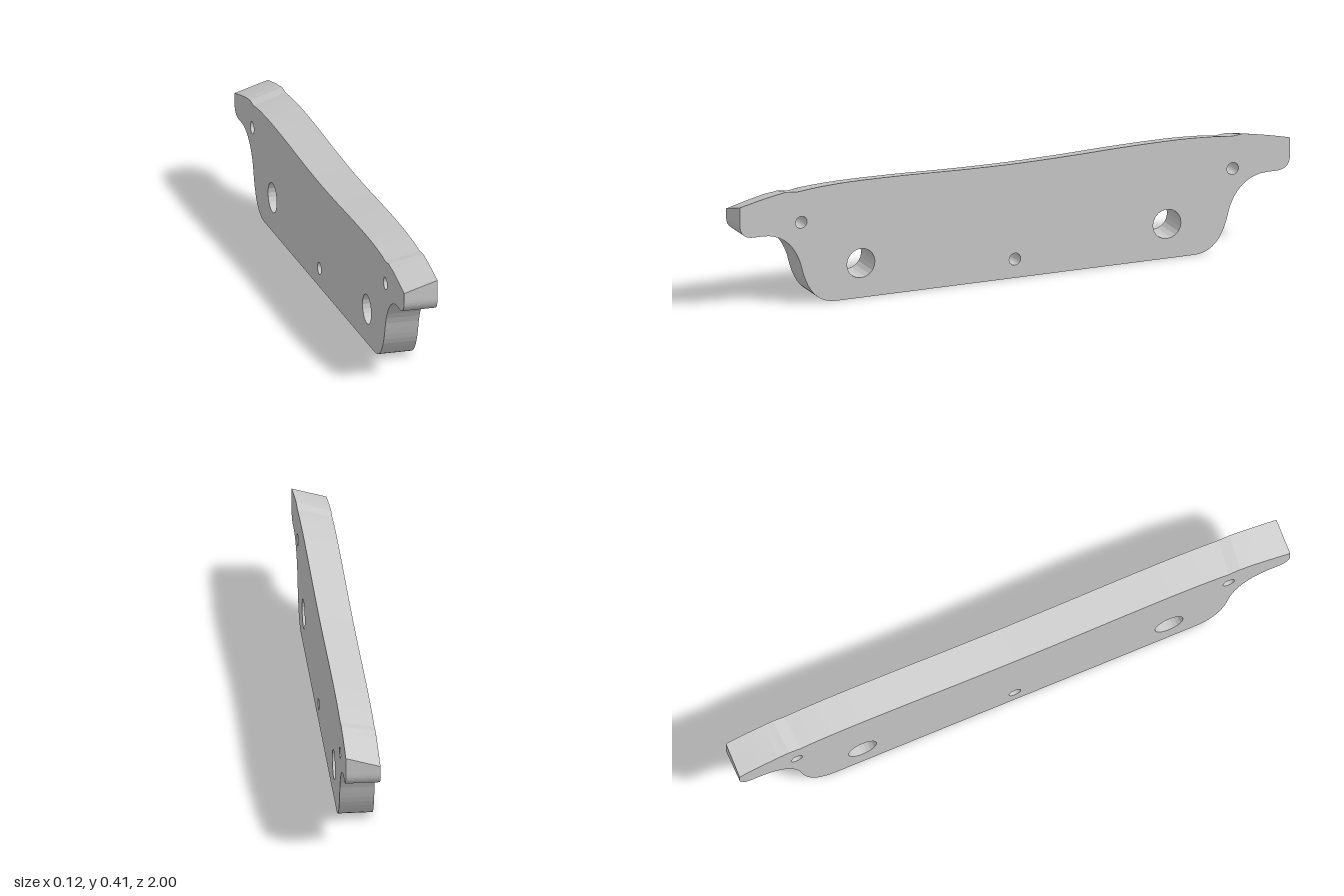
import * as THREE from 'three';

const HALF = 0.058; // half thickness of the plate

// Side outline; u runs along the length, y is up
function outline() {
  const s = new THREE.Shape();
  s.moveTo(-0.65, 0);
  s.lineTo(0.65, 0);
  s.bezierCurveTo(0.72, 0, 0.755, 0.05, 0.774, 0.125); // lower corner
  s.bezierCurveTo(0.79, 0.2, 0.84, 0.256, 0.915, 0.257); // concave underside of the ear
  s.lineTo(0.95, 0.257);
  s.quadraticCurveTo(1, 0.257, 1, 0.305);
  s.lineTo(1, 0.367);
  s.quadraticCurveTo(0.9, 0.391, 0.83, 0.401); // sloping ear top
  s.lineTo(0.79, 0.397); // small step
  const crown = [[0.7, 0.405], [0.58, 0.409], [0.4, 0.407], [0.2, 0.401], [0, 0.398],
    [-0.2, 0.401], [-0.4, 0.407], [-0.58, 0.409], [-0.7, 0.405], [-0.79, 0.397]];
  s.splineThru(crown.map(([u, y]) => new THREE.Vector2(u, y)));
  s.lineTo(-0.83, 0.401);
  s.quadraticCurveTo(-0.9, 0.391, -1, 0.367);
  s.lineTo(-1, 0.305);
  s.quadraticCurveTo(-1, 0.257, -0.95, 0.257);
  s.lineTo(-0.915, 0.257);
  s.bezierCurveTo(-0.84, 0.256, -0.79, 0.2, -0.774, 0.125);
  s.bezierCurveTo(-0.755, 0.05, -0.72, 0, -0.65, 0);

  // Through holes: u, y, radius
  const holes = [[-0.56, 0.12, 0.051], [0.553, 0.12, 0.051], [-0.777, 0.289, 0.021],
    [0.792, 0.284, 0.021], [0, 0.065, 0.021]];
  for (const [u, y, r] of holes) {
    const hole = new THREE.Path();
    hole.absarc(u, y, r, 0, Math.PI * 2, true);
    s.holes.push(hole);
  }
  return s;
}

export function createModel() {
  const group = new THREE.Group();
  group.name = 'plate';

  const geo = new THREE.ExtrudeGeometry(outline(), {
    depth: HALF * 2, bevelEnabled: false, curveSegments: 10,
  });
  geo.translate(0, 0, -HALF);
  geo.rotateY(Math.PI / 2);

  // Slant the top edge: it is lower on the -x side
  const p = geo.attributes.position;
  for (let i = 0; i < p.count; i++) {
    const y = p.getY(i), z = p.getZ(i), a = Math.abs(z);
    if (p.getX(i) > 0 || y < 0.36) continue;
    p.setY(i, y - 0.029 - 0.006 * Math.max(0, (a - 0.83) / 0.17));
    if (a > 0.75 && a < 0.85) p.setZ(i, z - Math.sign(z) * 0.013);
  }
  geo.computeVertexNormals();

  const body = new THREE.Mesh(geo, new THREE.MeshStandardMaterial({ color: 0xcccccc }));
  body.name = 'plateBody';
  group.add(body);
  return group;
}
